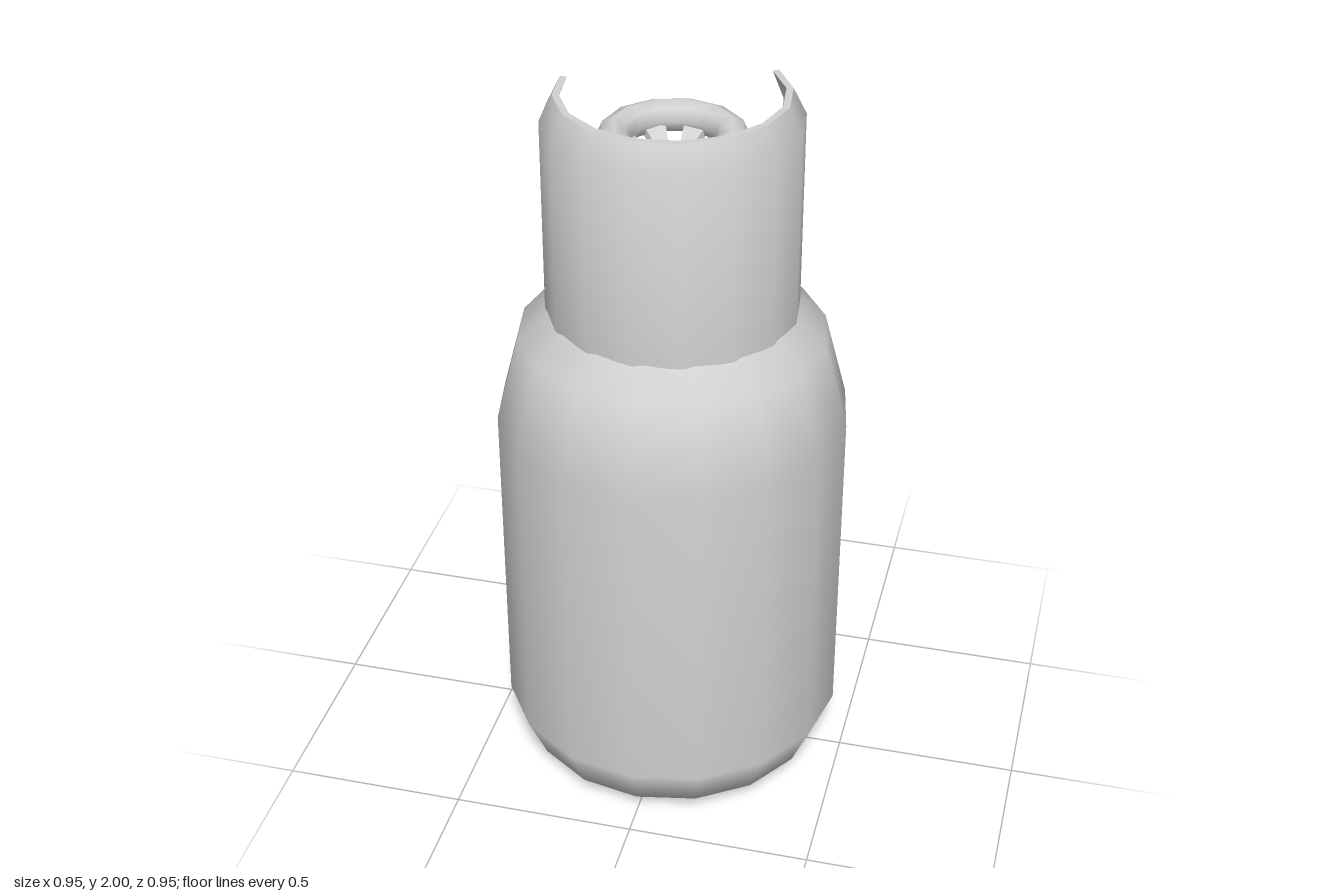
import * as THREE from 'three';
import { toCreasedNormals } from 'three/addons/utils/BufferGeometryUtils.js';

const rad = THREE.MathUtils.degToRad;
const vec = (pts) => pts.map(([x, y]) => new THREE.Vector2(x, y));

export function createModel() {
  const root = new THREE.Group();
  root.name = 'gasCylinder';
  const grey = new THREE.MeshStandardMaterial({ color: 0xd2d2d2, side: THREE.DoubleSide });
  grey.name = 'paintedGrey';

  function add(name, geometry, parent = root, x = 0, y = 0, z = 0) {
    const mesh = new THREE.Mesh(geometry, grey);
    mesh.name = name;
    mesh.position.set(x, y, z);
    parent.add(mesh);
    return mesh;
  }

  // Sweeps a closed cross-section (radius, height) through part of a turn and caps both ends
  function sector(name, profile, start, length, segments, parent = root) {
    const group = new THREE.Group();
    group.name = name;
    parent.add(group);
    const ring = new THREE.LatheGeometry(vec([...profile, profile[0]]), segments, rad(start), rad(length));
    add(name + 'Wall', toCreasedNormals(ring, 0.6), group);
    for (const angle of [start, start + length]) {
      add(name + 'End', new THREE.ShapeGeometry(new THREE.Shape(vec(profile))), group)
        .rotation.y = rad(angle - 90);
    }
  }

  // Tank with rounded shoulders and flat base
  add('tank', new THREE.LatheGeometry(vec([
    [0.3, 0], [0.42, 0.05], [0.473, 0.17], [0.473, 1.09],
    [0.41, 1.33], [0.23, 1.5], [0.1, 1.55], [0, 1.56],
  ]), 16));
  add('base', new THREE.CircleGeometry(0.3, 16).rotateX(Math.PI / 2));

  // Valve guard: curved plate leaning in at the top, open towards the back
  sector('valveGuard', [
    [0.335, 1.4], [0.335, 1.93], [0.3, 2], [0.282, 2], [0.315, 1.92], [0.315, 1.4],
  ], -95, 226, 10);

  // Valve
  const valve = new THREE.Group();
  valve.name = 'valve';
  root.add(valve);
  const cylinder = (top, bottom, height, sides) =>
    toCreasedNormals(new THREE.CylinderGeometry(top, bottom, height, sides), 0.9);
  add('collar', cylinder(0.113, 0.113, 0.1, 10), valve, 0, 1.54);
  add('stem', cylinder(0.05, 0.05, 0.22, 10), valve, 0, 1.67);
  add('outletNeck', cylinder(0.04, 0.03, 0.12, 8).rotateZ(Math.PI / 2), valve, -0.08, 1.65);
  add('regulator', cylinder(0.1, 0.1, 0.075, 10).rotateX(Math.PI / 2), valve, -0.185, 1.65);

  // Handwheel: round rim, dished spokes and hub
  const wheel = new THREE.Group();
  wheel.name = 'handwheel';
  root.add(wheel);
  add('rim', new THREE.TorusGeometry(0.153, 0.044, 8, 12).rotateX(Math.PI / 2), wheel, 0, 1.87);
  add('hub', cylinder(0.036, 0.036, 0.04, 7), wheel, 0, 1.78);
  const pitch = 360 / 7;
  for (let i = 0; i < 7; i++) {
    sector('spoke', [[0.03, 1.765], [0.14, 1.85], [0.13, 1.87], [0.03, 1.795]],
      i * pitch + 0.5 * pitch - 14 - 14, 28, 1, wheel);
  }
  return root;
}
